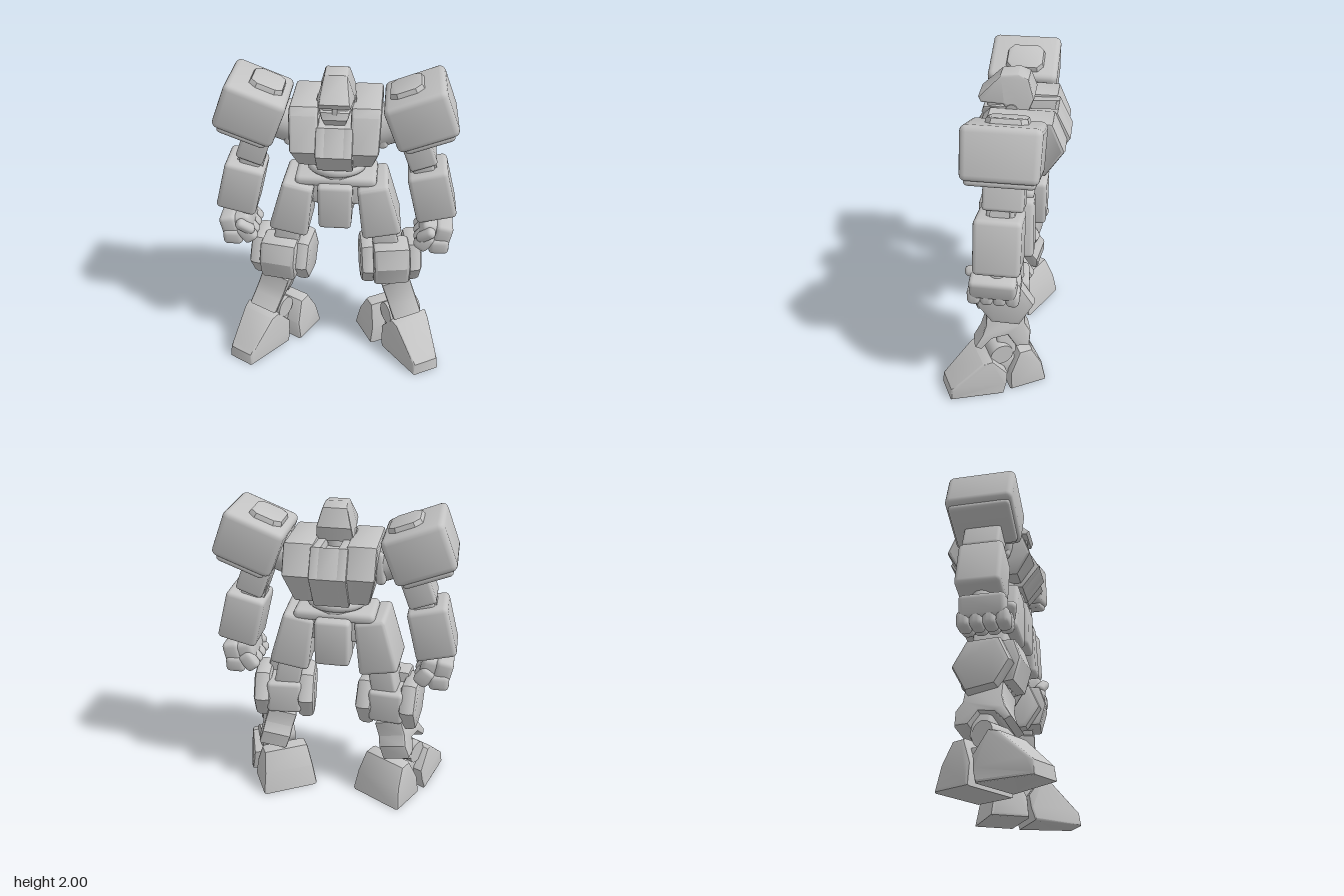
import * as THREE from 'three';
import { RoundedBoxGeometry } from 'three/addons/geometries/RoundedBoxGeometry.js';
import { toCreasedNormals } from 'three/addons/utils/BufferGeometryUtils.js';

const grey = new THREE.MeshStandardMaterial({ color: 0xc4c4c4 });
grey.name = 'plainGrey';

// Move vertices by a rule, then keep bevel edges soft and corners crisp
function finish(geo, warp) {
  if (warp) {
    const p = geo.attributes.position, v = new THREE.Vector3();
    for (let i = 0; i < p.count; i++) {
      warp(v.fromBufferAttribute(p, i));
      p.setXYZ(i, v.x, v.y, v.z);
    }
  }
  return toCreasedNormals(geo, 0.55);
}

function add(parent, name, geo, pos = [0, 0, 0], rot = [0, 0, 0]) {
  const mesh = new THREE.Mesh(geo, grey);
  mesh.name = name;
  mesh.position.set(...pos);
  mesh.rotation.set(...rot);
  parent.add(mesh);
  return mesh;
}

// Soft-edged box
function block(parent, name, size, pos, rot, r = 0.025, warp) {
  return add(parent, name, finish(new RoundedBoxGeometry(...size, 2, r), warp), pos, rot);
}

// Side profile of [z, y] points extruded across x, with bevelled edges
function prism(parent, name, pts, width, pos, rot, bevel = 0.015, warp) {
  const shape = new THREE.Shape(pts.map(([z, y]) => new THREE.Vector2(z, y)));
  const geo = new THREE.ExtrudeGeometry(shape, {
    depth: width - 2 * bevel, bevelEnabled: true, bevelSize: bevel,
    bevelThickness: bevel, bevelOffset: -bevel, bevelSegments: 2,
  });
  geo.translate(0, 0, -width / 2 + bevel).rotateY(-Math.PI / 2);
  return add(parent, name, finish(geo, warp), pos, rot);
}

function drum(parent, name, rTop, rBottom, h, pos, rot, sides = 32) {
  return add(parent, name, new THREE.CylinderGeometry(rTop, rBottom, h, sides), pos, rot);
}

function group(parent, name, pos = [0, 0, 0], rot = [0, 0, 0]) {
  const g = new THREE.Group();
  g.name = name;
  g.position.set(...pos);
  g.rotation.set(...rot);
  parent.add(g);
  return g;
}

function buildHead(parent) {
  const head = group(parent, 'head');
  prism(head, 'helmet', [[0.165, 1.86], [0.15, 1.83], [0.02, 1.83], [-0.02, 1.78], [-0.12, 1.78],
    [-0.155, 1.87], [-0.12, 1.975], [-0.06, 2.0], [0.04, 1.985]], 0.22, undefined, undefined, 0.012,
  (v) => { v.x *= 1 - 0.42 * Math.max(0, (v.y - 1.84) / 0.16) - 0.15 * Math.max(0, v.z / 0.165); });
  block(head, 'face', [0.16, 0.12, 0.2], [0, 1.8, 0.015], undefined, 0.02);
  prism(head, 'jaw', [[0.135, 1.8], [0.15, 1.76], [0.12, 1.71], [-0.06, 1.71], [-0.09, 1.81], [0.03, 1.82]],
    0.215, undefined, undefined, 0.012, (v) => { v.x *= 1 - 0.25 * Math.max(0, v.z / 0.15) + Math.min(0, v.y - 1.78) * 4; });
  block(head, 'noseGuard', [0.03, 0.06, 0.03], [0, 1.81, 0.125], undefined, 0.008);
  for (const s of [-1, 1]) drum(head, 'earDisc', 0.035, 0.035, 0.02, [s * 0.105, 1.8, -0.03], [0, 0, Math.PI / 2]);
  drum(head, 'neck', 0.075, 0.09, 0.14, [0, 1.7, -0.02]);
}

function buildTorso(parent) {
  const torso = group(parent, 'torso');
  const front = [[0.09, 1.73], [0.15, 1.71], [0.232, 1.56], [0.12, 1.415]];
  const back = [[-0.24, 1.42], [-0.37, 1.64], [-0.29, 1.8]];
  prism(torso, 'chestCentre', [...front, ...back, [-0.27, 1.79], [-0.27, 1.62], [-0.16, 1.62], [-0.15, 1.74]],
    0.12, undefined, undefined, 0.006);
  for (const s of [-1, 1]) {
    prism(torso, 'chestCentreEdge', [...front, ...back, [-0.1, 1.79]], 0.06, [s * 0.078, 0, 0], undefined, 0.01);
    // Side panels narrow toward the waist
    prism(torso, 'chestSide', [[0.09, 1.81], [0.13, 1.77], [0.2, 1.57], [0.11, 1.445], [-0.24, 1.445],
      [-0.35, 1.64], [-0.275, 1.81]], 0.175, [s * 0.18, 0, 0], undefined, 0.018,
    (v) => { if (v.x * s > 0) v.x -= s * Math.max(0, 1.6 - v.y) * 0.28; });
    block(torso, 'sideRib', [0.06, 0.2, 0.24], [s * 0.27, 1.64, -0.05], [0, 0, s * 0.1]);
    drum(torso, 'hipJoint', 0.09, 0.09, 0.16, [s * 0.14, 1.2, -0.03], [0, 0, Math.PI / 2]);
  }
  drum(torso, 'waist', 0.165, 0.155, 0.2, [0, 1.36, -0.04]).scale.z = 0.85;
  const ring = add(torso, 'waistRing', new THREE.TorusGeometry(0.155, 0.028, 12, 40), [0, 1.38, -0.04], [Math.PI / 2, 0, 0]);
  ring.scale.y = 0.85;
  block(torso, 'hipBelt', [0.5, 0.07, 0.28], [0, 1.315, -0.04], undefined, 0.033);
  block(torso, 'hipCore', [0.3, 0.17, 0.2], [0, 1.22, -0.04]);
  block(torso, 'frontSkirt', [0.215, 0.3, 0.18], [0, 1.16, 0.06], undefined, 0.025,
    (v) => { v.x *= 0.97 + v.y * 0.2; });
  block(torso, 'rearSkirt', [0.215, 0.3, 0.2], [0, 1.165, -0.155], undefined, 0.025,
    (v) => { if (v.z < 0) v.z += Math.abs(v.y) * 0.1; });
}

function buildArm(parent) {
  const arm = group(parent, 'arm');
  const shoulder = group(arm, 'shoulder', [0.493, 1.764, -0.04], [0, 0, 0.375]);
  block(shoulder, 'shoulderArmour', [0.37, 0.29, 0.435], [0, 0, 0], undefined, 0.035,
    (v) => {
      const corner = Math.max(0, Math.abs(v.x) - 0.1);
      v.z *= 1 - corner * 0.4 - (v.y < 0 ? 0.02 : 0);
    });
  // Eight-sided pad on top
  const pad = [[0.12, -0.06], [0.085, -0.105], [-0.085, -0.105], [-0.12, -0.06], [-0.12, 0.06], [-0.085, 0.105], [0.085, 0.105], [0.12, 0.06]];
  prism(shoulder, 'shoulderPad', pad, 0.07, [-0.037, 0.142, -0.01], [0, 0, Math.PI / 2], 0.016,
    (v) => { if (v.x > 0) { v.y *= 0.93; v.z *= 0.93; } });
  block(shoulder, 'shoulderUnderside', [0.3, 0.06, 0.38], [0, -0.145, 0], undefined, 0.025);
  drum(arm, 'shoulderJoint', 0.13, 0.12, 0.16, [0.305, 1.665, -0.04], [0, 0, Math.PI / 2 + 0.3]);
  block(arm, 'upperArm', [0.17, 0.3, 0.23], [0.478, 1.56, -0.045], [0, 0, 0.36], 0.02);
  block(arm, 'elbowHinge', [0.13, 0.16, 0.16], [0.525, 1.41, -0.03], [0, 0, 0.28], 0.02);
  drum(arm, 'elbowPin', 0.055, 0.055, 0.16, [0.525, 1.4, -0.03], [0, 0, Math.PI / 2 + 0.3]);
  block(arm, 'forearm', [0.25, 0.33, 0.275], [0.59, 1.235, -0.025], [0, 0, 0.25], 0.028,
    (v) => { const k = 1 - Math.max(0, Math.abs(v.y) - 0.1) * 0.6; v.z *= k; v.x *= 1 - Math.max(0, v.y - 0.1) * 0.6; });
  drum(arm, 'wrist', 0.06, 0.06, 0.1, [0.62, 1.06, -0.02], [0, 0, 0.25]);
  // Closed fist, fingers curling under the back of the hand
  const hand = group(arm, 'hand', [0.618, 0.955, 0.005], [0, 0, -0.2]);
  block(hand, 'backOfHand', [0.11, 0.14, 0.27], [0.05, 0.032, -0.005], undefined, 0.028);
  block(hand, 'palm', [0.13, 0.13, 0.25], [-0.025, 0.025, -0.005], undefined, 0.03);
  for (let i = 0; i < 4; i++) {
    const z = 0.108 - i * 0.075;
    block(hand, 'knuckle', [0.125, 0.105, 0.078], [0.045, -0.045, z], [0, 0, 0.2], 0.03);
    block(hand, 'fingertip', [0.1, 0.125, 0.076], [-0.05, -0.038, z], [0, 0, -0.45], 0.03);
  }
  block(hand, 'thumb', [0.065, 0.13, 0.07], [-0.055, 0.02, 0.125], [0.35, 0, -0.6], 0.028);
}

function buildLeg(parent) {
  const leg = group(parent, 'leg');
  block(leg, 'thighArmour', [0.22, 0.355, 0.34], [0.256, 1.13, -0.025], [0, 0.04, 0.2], 0.028,
    (v) => { v.x *= 1 - v.y * 0.8; v.z *= 1 - Math.max(0, v.y) * 0.35; });
  block(leg, 'lowerThigh', [0.16, 0.26, 0.21], [0.31, 0.87, -0.03], [0, 0.1, 0.2], 0.02);

  // Knee: front cap between two six-sided discs
  const knee = group(leg, 'knee', [0.349, 0.7, -0.015], [0, 0.13, 0.03]);
  const disc = [[0.1, 0.155], [-0.1, 0.155], [-0.19, 0], [-0.1, -0.165], [0.08, -0.14], [0.17, 0]];
  for (const s of [-1, 1]) {
    prism(knee, 'kneeDisc', disc, 0.11, [s * 0.142, 0, 0], undefined, 0.035);
  }
  block(knee, 'kneeCore', [0.22, 0.22, 0.28], [0, 0, -0.02]);
  prism(knee, 'kneeCap', [[0.02, 0.175], [0.165, 0.165], [0.205, 0.04], [0.165, -0.1], [0.02, -0.11]],
    0.235, undefined, undefined, 0.025);

  // Flared shin with a small arch above the ankle
  const shin = group(leg, 'shin', [0.415, 0.45, -0.01], [0, 0.22, 0.3]);
  prism(shin, 'shinArmour', [[0.1, 0.13], [0.105, 0.03], [0.13, -0.04], [0.18, -0.12], [0.14, -0.14],
    [0.07, -0.07], [-0.03, -0.05], [-0.08, -0.13], [-0.165, -0.13], [-0.175, -0.03], [-0.14, 0.03], [-0.14, 0.13]],
  0.19, undefined, undefined, 0.014);
  block(shin, 'kneeHinge', [0.1, 0.16, 0.18], [0, 0.14, 0], undefined, 0.02);
  block(shin, 'ankleLink', [0.12, 0.2, 0.12], [0, -0.1, -0.02], undefined, 0.02);

  // Foot turned outward, toe and heel split by a narrow gap
  const foot = group(leg, 'foot', [0.477, 0, 0.047], [0, 0.5, 0]);
  prism(foot, 'toe', [[0.318, 0], [0.308, 0.08], [0.27, 0.115], [0.1, 0.27], [0.04, 0.285], [-0.055, 0.16],
    [-0.045, 0.08], [-0.02, 0]], 0.33, undefined, undefined, 0.015,
  (v) => { v.x *= 1 - 0.42 * Math.max(0, (v.z - 0.03) / 0.28) - v.y * 0.6; });
  prism(foot, 'heel', [[-0.075, 0], [-0.08, 0.13], [-0.15, 0.28], [-0.235, 0.28], [-0.3, 0.15], [-0.325, 0]],
    0.38, [-0.035, 0, 0], undefined, 0.02, (v) => { v.x *= 1 - v.y * 0.75; });
  block(foot, 'instep', [0.19, 0.14, 0.24], [-0.01, 0.16, -0.06], undefined, 0.02);
  drum(foot, 'anklePivot', 0.075, 0.075, 0.23, [-0.02, 0.285, -0.035], [0, 0, Math.PI / 2]);
}

export function createModel() {
  const model = new THREE.Group();
  model.name = 'robot';
  buildHead(model);
  buildTorso(model);
  for (const side of [1, -1]) {
    const limbs = group(model, side > 0 ? 'leftLimbs' : 'rightLimbs');
    buildArm(limbs);
    buildLeg(limbs);
    limbs.scale.x = side;
  }
  return model;
}
